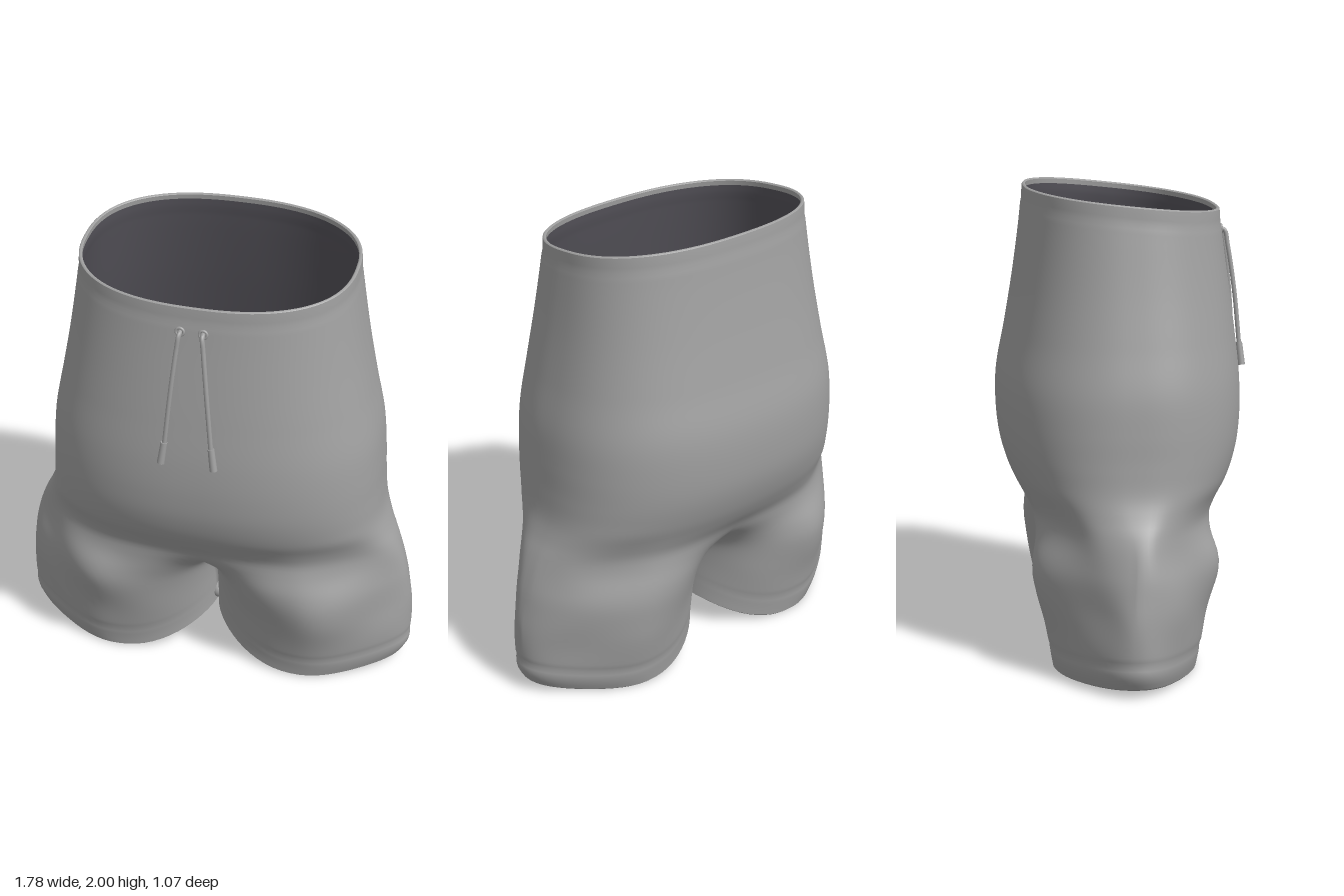
import * as THREE from 'three';

const ROWS = 96, HALF = 64, COLS = HALF * 2, THICK = 0.014;

// level, half width, front depth, back depth, leg split (0 = one body, 1 = two legs)
const LEVELS = [
  [0.00, 0.860, 0.280, 0.315, 0.93],
  [0.04, 0.885, 0.285, 0.322, 0.93],
  [0.12, 0.890, 0.300, 0.335, 0.92],
  [0.25, 0.885, 0.325, 0.355, 0.88],
  [0.40, 0.868, 0.355, 0.378, 0.74],
  [0.50, 0.853, 0.366, 0.390, 0.48],
  [0.60, 0.828, 0.366, 0.398, 0.18],
  [0.66, 0.805, 0.372, 0.408, 0.07],
  [0.72, 0.775, 0.405, 0.440, 0.01],
  [0.80, 0.745, 0.455, 0.480, 0],
  [0.92, 0.730, 0.495, 0.518, 0],
  [1.05, 0.722, 0.510, 0.533, 0],
  [1.20, 0.708, 0.508, 0.530, 0],
  [1.40, 0.668, 0.487, 0.492, 0],
  [1.60, 0.630, 0.463, 0.455, 0],
  [1.80, 0.598, 0.438, 0.425, 0],
  [1.90, 0.584, 0.426, 0.414, 0],
  [1.955, 0.580, 0.420, 0.408, 0],
];
const profile = new THREE.CubicInterpolant(
  LEVELS.map(l => l[0]), LEVELS.flatMap(l => l.slice(1)), 4);

const smooth = THREE.MathUtils.smoothstep;
const spow = (v, p) => Math.sign(v) * Math.pow(Math.abs(v), p);

// Point on the cloth: level runs hem to waist, t runs front centre to back centre
function clothPoint(level, t, side) {
  const [w, front, back, split] = profile.evaluate(level);
  const k = THREE.MathUtils.clamp(split, 0, 1);
  const a = Math.PI * t;
  const leg = 1 - smooth(level, 0.5, 0.82);
  const e = 2 / (2.4 - 0.3 * leg);
  // body outline blended into a closed leg outline that pinches at the centre
  const u = (1 - k) * spow(Math.sin(a), e) + k * Math.sin(a) ** 2;
  const c = ((1 - k) * spow(Math.cos(a), e) + k * Math.sin(2 * a)) * (1 + 0.65 * k * (1 - k));
  let x = w * u;
  let z = c * (c > 0 ? front : back) * (1 - 0.3 * leg * smooth(u, 0.5, 1));
  // soft folds on the legs
  const fold = leg * smooth(level, 0.08, 0.35) * Math.sin(a);
  z += 0.010 * fold * Math.sin(17 * t + 7 * level + side) * Math.sign(c);
  z += 0.007 * fold * Math.sin(31 * t - 9 * level + 2 * side);
  x += 0.008 * fold * Math.sin(26 * t + 4 * level) * u;
  // stitched groove above the hem and below the waist edge
  const groove = Math.exp(-(((level - 0.1) / 0.014) ** 2)) * 0.012
    + Math.exp(-(((level - 1.90) / 0.016) ** 2)) * 0.006;
  z *= 1 - groove;
  x *= 1 - groove * 0.6;
  // sloping waist and curved hem
  const lift = 0.16 * Math.max(0, 1 - x / 0.4) ** 2 + 0.04 * Math.max(0, (x - 0.5) / 0.38) ** 2;
  const y = level - 0.107 * z * smooth(level, 1.3, 1.955)
    + (0.008 + lift) * (1 - smooth(level, 0, 0.65));
  return new THREE.Vector3(x * side, y, z);
}

// Closed rings joined into a smooth sheet
function sheet(rings) {
  const pos = [], index = [];
  rings.forEach(r => r.forEach(p => pos.push(p.x, p.y, p.z)));
  for (let i = 0; i < rings.length - 1; i++) {
    for (let j = 0; j < COLS; j++) {
      const n = (j + 1) % COLS;
      const a = i * COLS + j, b = i * COLS + n, c = a + COLS, d = b + COLS;
      index.push(a, c, d, a, d, b);
    }
  }
  const g = new THREE.BufferGeometry();
  g.setAttribute('position', new THREE.Float32BufferAttribute(pos, 3));
  g.setIndex(index);
  g.computeVertexNormals();
  return g;
}

// Rounded edge between two rings
function edge(from, to, dy) {
  const middle = from.map((p, j) => p.clone().lerp(to[j], 0.5).add(new THREE.Vector3(0, dy, 0)));
  return sheet([from, middle, to]);
}

export function createModel() {
  const group = new THREE.Group();
  group.name = 'shorts';
  const fabric = new THREE.MeshStandardMaterial({ color: 0xa0a0a0 });
  fabric.name = 'grey fabric';
  const lining = new THREE.MeshStandardMaterial({ color: 0x535158 });
  lining.name = 'dark lining';
  const add = (name, geometry, material, parent = group) => {
    const mesh = new THREE.Mesh(geometry, material);
    mesh.name = name;
    parent.add(mesh);
    return mesh;
  };

  // outer cloth, waist to hem
  const outer = [];
  for (let i = 0; i <= ROWS; i++) {
    const level = 1.955 * (1 - i / ROWS);
    outer.push(Array.from({ length: COLS }, (_, j) => j <= HALF
      ? clothPoint(level, j / HALF, 1)
      : clothPoint(level, (COLS - j) / HALF, -1)));
  }
  const outerGeometry = sheet(outer);
  add('outerFabric', outerGeometry, fabric);

  // lining, set in by the cloth thickness
  const normals = outerGeometry.attributes.normal;
  const inner = outer.map((ring, i) => ring.map((p, j) => {
    const n = new THREE.Vector3().fromBufferAttribute(normals, i * COLS + j);
    n.y = 0;
    return p.clone().addScaledVector(n, -THICK);
  }));
  add('lining', sheet(inner.slice(1, ROWS).reverse()), lining);

  // turned edges
  add('waistEdge', edge(inner[0], outer[0], 0.006), fabric);
  add('waistFacing', sheet([inner[1], inner[0]]), fabric);
  add('hemEdge', edge(outer[ROWS], inner[ROWS], -0.006), fabric);
  add('hemFacing', sheet([inner[ROWS], inner[ROWS - 1]]), fabric);

  // gathered cloth where the legs meet
  const gather = add('crotchGather', new THREE.SphereGeometry(1, 20, 14), fabric);
  gather.scale.set(0.045, 0.05, 0.065);
  gather.position.set(0, 0.215, 0);

  // drawcords with eyelets and tips
  for (const side of [-1, 1]) {
    const cord = new THREE.Group();
    cord.name = side > 0 ? 'leftDrawcord' : 'rightDrawcord';
    const shift = side > 0 ? -0.006 : 0.006;
    const at = (x, y, z) => new THREE.Vector3(side * (x + shift * side), y, z);
    const path = new THREE.CatmullRomCurve3([
      at(0.052, 1.812, 0.425), at(0.054, 1.805, 0.452), at(0.062, 1.74, 0.466),
      at(0.082, 1.55, 0.493), at(0.105, 1.31, 0.514)]);
    add('cord', new THREE.TubeGeometry(path, 40, 0.010, 10), fabric, cord);
    const top = at(0.105, 1.325, 0.513), end = at(0.118, 1.228, 0.523);
    const tip = add('cordTip', new THREE.CylinderGeometry(0.014, 0.016, top.distanceTo(end), 14), fabric, cord);
    tip.position.copy(top).lerp(end, 0.5);
    tip.quaternion.setFromUnitVectors(new THREE.Vector3(0, 1, 0), top.clone().sub(end).normalize());
    const eyelet = add('eyelet', new THREE.TorusGeometry(0.016, 0.006, 8, 20), fabric, cord);
    eyelet.position.copy(at(0.054, 1.812, 0.438));
    eyelet.rotation.x = -0.12;
    group.add(cord);
  }
  return group;
}
